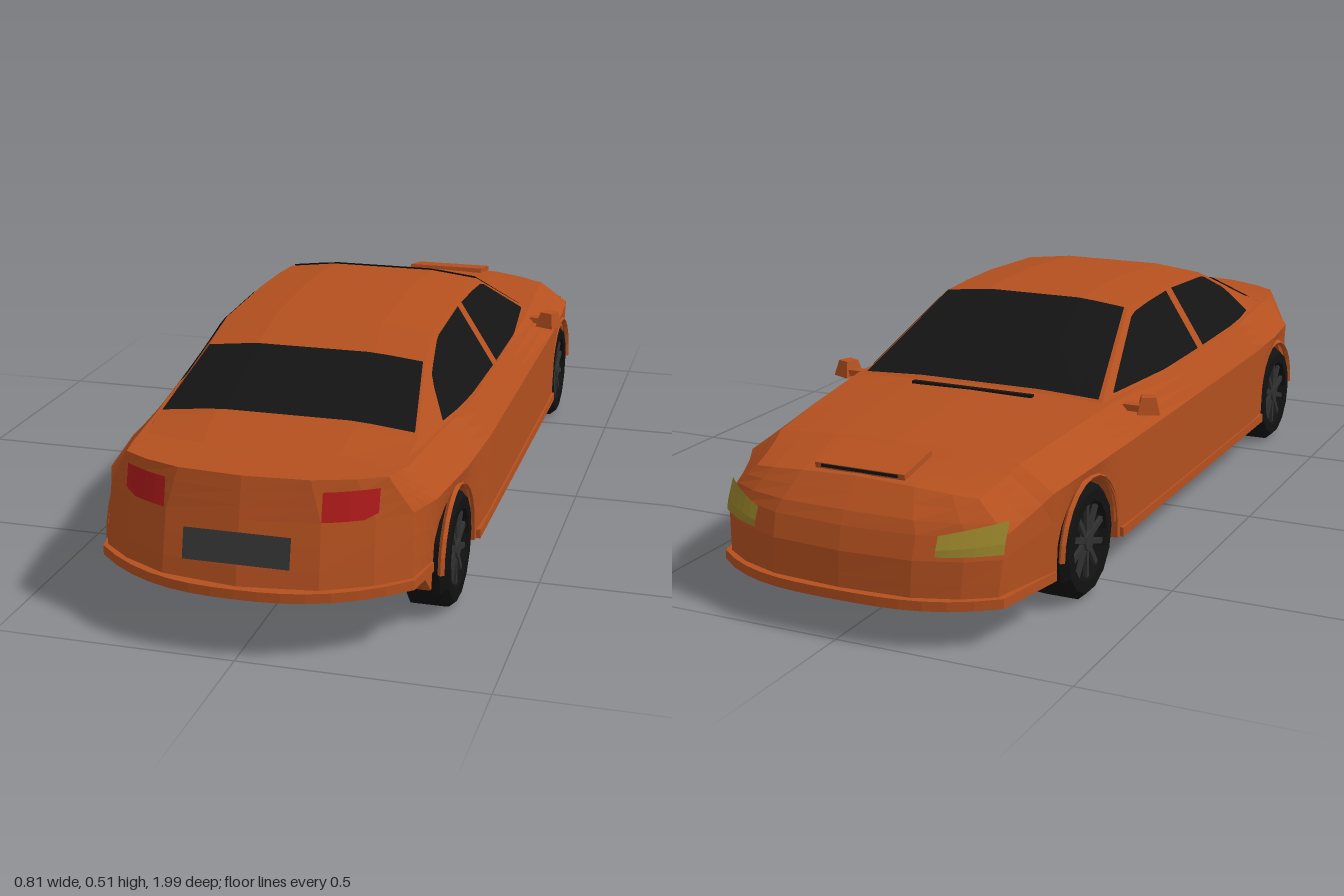
import * as THREE from 'three';

const mat = (color) => new THREE.MeshStandardMaterial({ color, flatShading: true, side: THREE.DoubleSide });
const paint = mat(0xb4501f), glass = mat(0x141414), rubber = mat(0x111111), metal = mat(0x303030);
const red = mat(0xb01a1a), amber = mat(0x94802a), plateGrey = mat(0x363636);
const { lerp } = THREE.MathUtils;

// Linear interpolation in a table whose first column is the key
function interp(table, k) {
  let i = 1;
  while (i < table.length - 1 && k > table[i][0]) i++;
  const a = table[i - 1], b = table[i];
  const t = THREE.MathUtils.clamp((k - a[0]) / (b[0] - a[0]), 0, 1);
  return a.map((v, j) => lerp(v, b[j], t)).slice(1);
}

// Grid of points (rows of equal length) to a surface
function surface(rows) {
  const n = rows[0].length, index = [];
  for (let s = 0; s < rows.length - 1; s++)
    for (let i = 0; i < n - 1; i++) {
      const a = s * n + i, b = a + 1, c = b + n, d = a + n;
      index.push(a, b, c, a, c, d);
    }
  const g = new THREE.BufferGeometry();
  g.setAttribute('position', new THREE.Float32BufferAttribute(rows.flat(2), 3));
  g.setIndex(index);
  g.computeVertexNormals();
  return g;
}
const patch = (us, vs, fn) => surface(vs.map((v) => us.map((u) => fn(u, v))));
const steps = (a, b, n) => Array.from({ length: n + 1 }, (_, i) => lerp(a, b, i / n));
const fullRing = (half) => [...half, ...half.slice(0, -1).reverse().map(([x, y, z]) => [-x, y, z])];

// Body sections: z, sill half width, waist half width, waist y, deck half width, deck edge y, deck centre y
const BODY = [
  [-1, 0.30, 0.312, 0.225, 0.25, 0.285, 0.305],
  [-0.75, 0.34, 0.347, 0.27, 0.275, 0.32, 0.334],
  [-0.6, 0.355, 0.362, 0.28, 0.29, 0.335, 0.346],
  [-0.38, 0.365, 0.37, 0.285, 0.31, 0.35, 0.36],
  [0, 0.365, 0.37, 0.285, 0.325, 0.355, 0.356],
  [0.4, 0.365, 0.37, 0.285, 0.325, 0.355, 0.356],
  [0.6, 0.355, 0.362, 0.285, 0.30, 0.35, 0.353],
  [0.76, 0.33, 0.34, 0.28, 0.285, 0.345, 0.35],
  [1, 0.315, 0.31, 0.275, 0.265, 0.352, 0.357]];
const FLOOR = [[-1, 0.085], [0.78, 0.085], [0.85, 0.125], [1, 0.14]];
const AXLES = [-0.595, 0.635], AXLE_Y = 0.122, ARCH = 0.132;

// Raked and bowed shapes of the two ends
const NOSE = [[0.08, -0.985], [0.2, -0.98], [0.25, -0.955], [0.31, -0.9]];
const TAIL = [[0.13, 0.985], [0.2, 0.972], [0.357, 0.935]];
const noseZ = (x, y) => interp(NOSE, y)[0] + 0.08 * (Math.abs(x) / 0.3) ** 3;
const tailZ = (x, y) => interp(TAIL, y)[0] - 0.11 * (Math.abs(x) / 0.3) ** 2.5;
function warp([x, y, z]) {
  if (z < -0.75) return [x, y, lerp(-0.75, noseZ(x, y), (-0.75 - z) / 0.25)];
  if (z > 0.78) return [x, y, lerp(0.78, tailZ(x, y), (z - 0.78) / 0.22)];
  return [x, y, z];
}

function lowEdge(z) {
  let y = interp(FLOOR, z)[0];
  for (const c of AXLES) {
    const d = Math.abs(z - c);
    if (d < ARCH) y = Math.max(y, AXLE_Y + Math.sqrt(ARCH * ARCH - d * d));
  }
  return y;
}
// Point on the section: t climbs from sill (0) past waist (0.5) to deck (1), u runs across
function section(z, t, u) {
  const [wl, wm, ym, wd, ye, yc] = interp(BODY, z);
  const top = ye + (yc - ye) * (1 - u * u), k = t * 2;
  return k <= 1 ? [u * lerp(wl, wm, k), lerp(lowEdge(z), ym, k), z]
    : [u * lerp(wm, wd, k - 1), lerp(ym, top, k - 1), z];
}

function bodyGeometry() {
  const zs = [...BODY.map((r) => r[0]), -0.92, -0.83, 0.85, 0.92, 0.2];
  for (const c of AXLES) {
    zs.push(c - ARCH - 0.001, c + ARCH + 0.001);
    for (let k = 0; k <= 12; k++) zs.push(c + ARCH * 0.9999 * Math.cos((Math.PI * k) / 12));
  }
  zs.sort((a, b) => a - b);
  return surface(zs.map((z) => {
    const wi = Math.min(0.25, 0.8 * interp(BODY, z)[0]), yb = interp(FLOOR, z)[0];
    const half = [[0, yb, z], [wi / 2, yb, z], [wi, yb, z], [wi, lowEdge(z), z]];
    for (let i = 0; i <= 6; i++) half.push(section(z, i / 6, 1));
    for (const u of [0.8, 0.5, 0]) half.push(section(z, 1, u));
    return fullRing(half).map(warp);
  }));
}

// Cabin sections: z, belt half width, belt y, roof edge half width, roof edge y, crown half width, crown y
const CABIN = [
  [-0.4, 0.30, 0.34, 0.295, 0.345, 0.15, 0.352],
  [-0.1, 0.325, 0.35, 0.23, 0.492, 0.12, 0.505],
  [0, 0.325, 0.35, 0.23, 0.498, 0.12, 0.513],
  [0.13, 0.325, 0.35, 0.23, 0.5, 0.12, 0.515],
  [0.36, 0.322, 0.35, 0.232, 0.49, 0.12, 0.503],
  [0.46, 0.315, 0.35, 0.24, 0.452, 0.13, 0.464],
  [0.67, 0.29, 0.34, 0.275, 0.362, 0.15, 0.376],
  [0.78, 0.27, 0.33, 0.27, 0.335, 0.14, 0.345]];
function cabinTop(z, x) {
  const [, , we, ye, wm, yt] = interp(CABIN, z);
  return lerp(yt, ye, Math.max(0, (Math.abs(x) - wm) / (we - wm)));
}
function cabinSide(z, y) {
  const [wb, yb, we, ye] = interp(CABIN, z);
  return lerp(wb, we, (y - yb) / (ye - yb));
}

function createWheel() {
  const wheel = new THREE.Group();
  const part = (name, g, m) => {
    const p = new THREE.Mesh(g, m);
    p.name = name;
    wheel.add(p);
    return p;
  };
  const profile = [[0, -0.048], [0.105, -0.048], [0.122, -0.038], [0.122, 0.03], [0.108, 0.046], [0.084, 0.046], [0.078, 0.03], [0, 0.03]];
  part('tyre', new THREE.LatheGeometry(profile.map((p) => new THREE.Vector2(...p)), 14), rubber);
  part('hubCap', new THREE.CylinderGeometry(0.02, 0.024, 0.014, 10), metal).position.y = 0.037;
  for (let i = 0; i < 10; i++) {
    const g = new THREE.BoxGeometry(0.06, 0.008, 0.012).translate(0.048, 0.036, 0);
    part('spoke', g.rotateY((i * Math.PI) / 5), metal);
  }
  return wheel;
}

export function createModel() {
  const car = new THREE.Group();
  car.name = 'car';
  const add = (name, g, m = paint) => {
    const mesh = new THREE.Mesh(g, m);
    mesh.name = name;
    car.add(mesh);
    return mesh;
  };

  // Painted shell
  add('body', bodyGeometry());
  const across = [-1, -0.8, -0.5, 0, 0.5, 0.8, 1];
  add('nosePanel', patch(across, steps(1, 0, 6), (u, t) => warp(section(-1, t, u))));
  add('tailPanel', patch(across, steps(0, 1, 6), (u, t) => warp(section(1, t, u))));
  add('cabin', surface(CABIN.map(([z, wb, yb, we, ye, wm, yt]) =>
    fullRing([[0, yb, z], [wb, yb, z], [we, ye, z], [wm, yt, z], [0, yt, z]]))));

  // Windows
  const uGlass = steps(-1, 1, 12);
  const topGlass = (z0, z1, k) => patch(uGlass, steps(z0, z1, 4), (u, z) => {
    const x = u * k * interp(CABIN, z)[2];
    return [x, cabinTop(z, x) + 0.005, z];
  });
  add('windscreen', topGlass(-0.385, -0.105, 0.97), glass);
  add('rearWindow', topGlass(0.462, 0.66, 0.98), glass);
  const SIDE_GLASS = {
    frontSideWindow: [[-0.335, 0.363], [-0.1, 0.482], [0, 0.489], [0.115, 0.492]],
    rearSideWindow: [[0.15, 0.492], [0.36, 0.482], [0.48, 0.43], [0.545, 0.363]] };
  // Front and rear lips follow the bowed ends
  const lip = (xs, zOf, zBack, wBack, y0, y1) => {
    const pts = steps(-xs, xs, 14).map((x) => new THREE.Vector2(x, zOf(x)));
    pts.push(new THREE.Vector2(wBack, zBack), new THREE.Vector2(-wBack, zBack));
    return new THREE.ExtrudeGeometry(new THREE.Shape(pts), { depth: y1 - y0, bevelEnabled: false })
      .rotateX(Math.PI / 2).translate(0, y1, 0);
  };
  add('frontLip', lip(0.315, (x) => noseZ(x, 0.1) - 0.014, -0.735, 0.347, 0.085, 0.105));
  add('rearLip', lip(0.32, (x) => tailZ(x, 0.14) + 0.013, 0.775, 0.336, 0.13, 0.15));
  add('numberPlate', patch(steps(-0.107, 0.107, 4), [0.195, 0.255],
    (x, y) => [x, y, tailZ(0, y) + 0.008]), plateGrey);

  // Bonnet scoop and scuttle strip
  const scoop = add('bonnetScoop', new THREE.BoxGeometry(0.2, 0.012, 0.11));
  scoop.position.set(0, 0.321, -0.84);
  scoop.rotation.x = -0.17;
  const mouth = add('scoopMouth', new THREE.BoxGeometry(0.17, 0.006, 0.004), glass);
  mouth.position.set(0, 0.313, -0.895);
  add('scuttleStrip', new THREE.BoxGeometry(0.29, 0.006, 0.012), glass).position.set(0, 0.358, -0.42);

  for (const s of [1, -1]) {
    for (const [name, top] of Object.entries(SIDE_GLASS))
      add(name, patch(steps(top[0][0], top[3][0], 16), steps(0, 1, 3), (z, v) => {
        const y = lerp(0.361, interp(top, z)[0], v);
        return [s * (cabinSide(z, y) + 0.005), y, z];
      }), glass);
    add('tailLight', patch(steps(0.157, 0.255, 4), steps(0, 1, 2), (x, v) =>
      [s * x, lerp(x > 0.24 ? 0.29 : 0.279, 0.335, v), tailZ(x, lerp(0.28, 0.335, v)) + 0.007]), red);
    add('headlight', patch(steps(0.2, 0.312, 5), steps(0, 1, 3), (x, v) => {
      const y = lerp(0.19, lerp(0.228, 0.25, (x - 0.2) / 0.112), v);
      return [s * x, y, noseZ(x, y) - 0.007];
    }), amber);
    add('sill', new THREE.BoxGeometry(0.02, 0.02, 0.94)).position.set(s * 0.36, 0.095, 0.02);

    // Door mirror on a short arm
    const mirror = add('doorMirror', new THREE.CylinderGeometry(0.022, 0.034, 0.036, 4, 1).rotateY(Math.PI / 4));
    mirror.position.set(s * 0.371, 0.341, -0.32);
    mirror.rotation.y = s * -0.4;
    const arm = add('mirrorArm', new THREE.BoxGeometry(0.04, 0.014, 0.025));
    arm.position.set(s * 0.34, 0.335, -0.33);

    // Wheels and arch rims
    for (const z of AXLES) {
      const wheel = createWheel();
      wheel.name = z < 0 ? 'frontWheel' : 'rearWheel';
      wheel.position.set(s * 0.312, AXLE_Y, z);
      wheel.rotation.z = -s * Math.PI / 2;
      car.add(wheel);
      const rim = add('archRim', new THREE.TorusGeometry(ARCH + 0.004, 0.007, 4, 12, Math.PI).rotateY(Math.PI / 2));
      rim.position.set(s * interp(BODY, z)[0], AXLE_Y, z);
    }
  }
  return car;
}
